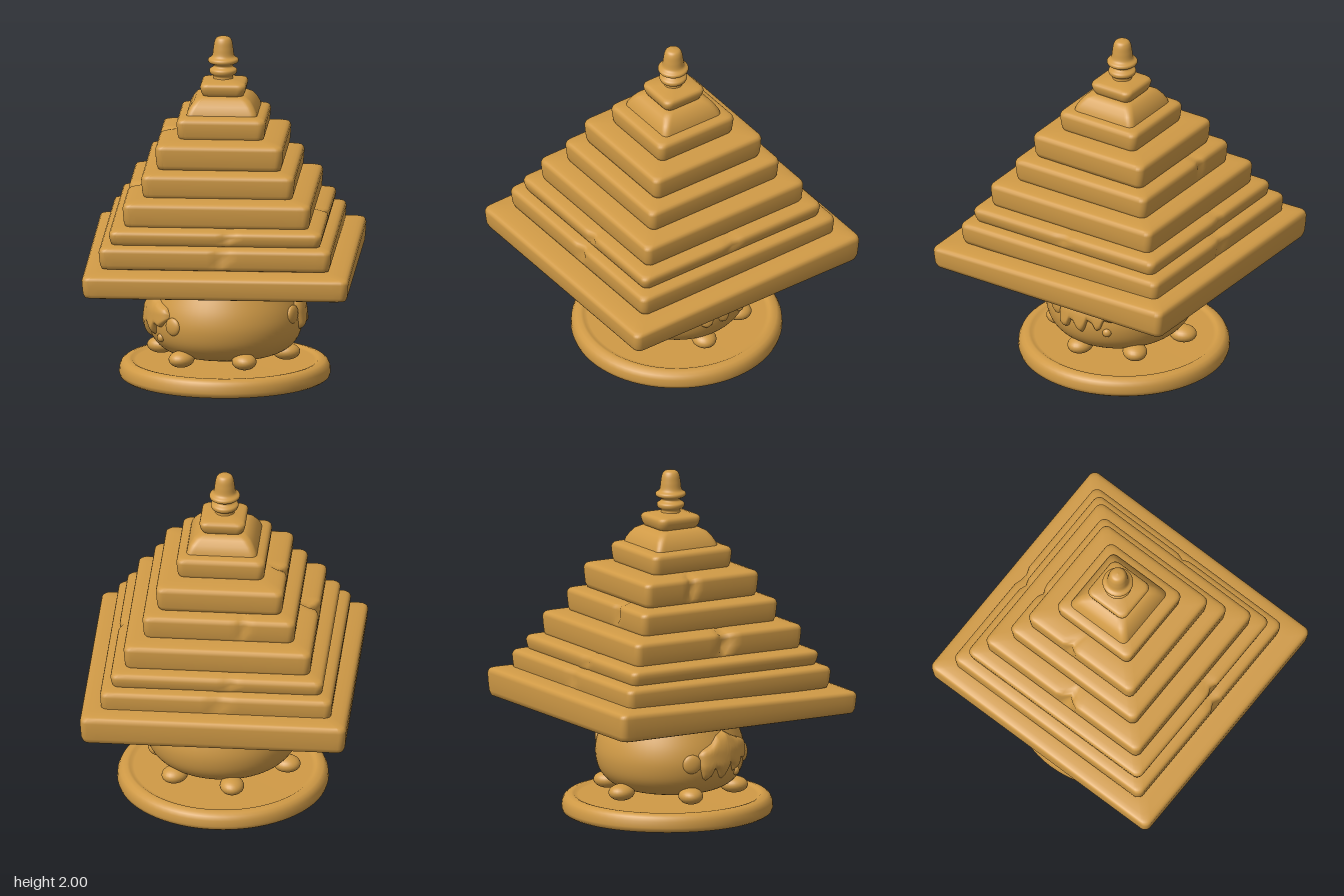
import * as THREE from 'three';

const clay = new THREE.MeshStandardMaterial({ color: 0xd09a46 });
clay.name = 'ochre clay';

const named = (geometry, name, x = 0, y = 0, z = 0) => {
  const m = new THREE.Mesh(geometry, clay);
  m.name = name;
  m.position.set(x, y, z);
  return m;
};

// Grid surface: i runs to the right, j runs upward, seen from outside
function grid(ni, nj, fn) {
  const pos = [], idx = [];
  for (let j = 0; j <= nj; j++) for (let i = 0; i <= ni; i++) pos.push(...fn(i, j));
  const w = ni + 1;
  for (let j = 0; j < nj; j++) for (let i = 0; i < ni; i++) {
    const a = j * w + i, b = a + 1, c = a + w + 1, d = a + w;
    idx.push(a, b, c, a, c, d);
  }
  const g = new THREE.BufferGeometry();
  g.setAttribute('position', new THREE.Float32BufferAttribute(pos, 3));
  g.setIndex(idx);
  g.computeVertexNormals();
  return g;
}

const vecs = (pts) => pts.map(([x, y]) => new THREE.Vector2(x, y));
const smoothLathe = (pts, n, seg = 64) => {
  const p = new THREE.SplineCurve(vecs(pts)).getPoints(n);
  p.forEach((v) => { v.x = Math.max(0, v.x); });
  return new THREE.LatheGeometry(p, seg);
};

// Piecewise linear lookup in [[x, y], ...]
function lookup(table, x) {
  for (let i = 1; i < table.length; i++) {
    const [x0, y0] = table[i - 1], [x1, y1] = table[i];
    if (x <= x1) return y0 + (y1 - y0) * Math.max(0, (x - x0) / (x1 - x0));
  }
  return table[table.length - 1][1];
}

// Rounded square outline, starting on the front side and turning toward +x
const SIDE = 28, ARC = 6, RING = 4 * (SIDE + ARC);
function ringPoint(i, hx, hz, radius) {
  const k = i % RING, side = Math.floor(k / (SIDE + ARC)), s = k % (SIDE + ARC);
  const along = side % 2 ? hz : hx, out = side % 2 ? hx : hz;
  const r = Math.min(radius, along, out);
  let u, v;
  if (s <= SIDE) {
    u = (along - r) * (2 * s / SIDE - 1);
    v = out;
  } else {
    const a = (s - SIDE) / ARC * Math.PI / 2;
    u = along - r + r * Math.sin(a);
    v = out - r + r * Math.cos(a);
  }
  const turn = [[u, v], [v, -u], [-u, -v], [-v, u]][side];
  return { x: turn[0], z: turn[1], u, side };
}

// One slab of the stepped roof; dents are [side, position, depth]
function slab(hx, hz, y0, y1, dents = [], tilt = 0, radius = 0.04) {
  const h = y1 - y0, e = Math.min(0.03, h * 0.3);
  const profile = [
    [hx, y0], [0.035, y0], [0.034, y0], [0.016, y0 + 0.006], [0.007, y0 + e], [0.003, y0 + h * 0.5],
    [0, y1 - e], [0.004, y1 - e * 0.5], [0.012, y1 - e * 0.18], [0.025, y1 - 0.001], [0.045, y1 + 0.004],
    [0.12, y1 + 0.014], [hx, y1 + 0.014],
  ];
  return grid(RING, profile.length - 1, (i, j) => {
    const [inset, y] = profile[j];
    const ix = Math.max(0.001, hx - inset), iz = Math.max(0.001, hz - inset);
    const p = ringPoint(i, ix, iz, radius);
    let pull = 0;
    if (j > 4 && j < 11) {
      for (const [side, at, depth] of dents) {
        if (side === p.side) pull += depth * Math.exp(-(((p.u - at) / 0.025) ** 2));
      }
    }
    const out = [[0, 1], [1, 0], [0, -1], [-1, 0]][p.side];
    return [p.x - out[0] * pull, y - tilt * p.z * (y - y0) / h - pull * 0.3, p.z - out[1] * pull];
  });
}

// Pot radius by height
const potProfile = [[0, 0.14], [0.15, 0.14], [0.26, 0.148], [0.345, 0.185], [0.4, 0.25], [0.422, 0.34],
  [0.412, 0.43], [0.375, 0.53], [0.33, 0.62], [0.3, 0.67]];
const potRadius = potProfile.map(([r, y]) => [y, r]).slice(1);
const onPot = (az, y, lift) => {
  const r = lookup(potRadius, y) + lift;
  return [r * 1.05 * Math.sin(az), y, r * Math.cos(az)];
};

// Melted patch outline: angle against upper and lower height
const dripTop = [[-0.5, 0.46], [-0.42, 0.49], [-0.26, 0.52], [-0.15, 0.56], [0, 0.58], [0.12, 0.555],
  [0.25, 0.53], [0.42, 0.51], [0.5, 0.47]];
const dripBottom = [[-0.5, 0.42], [-0.46, 0.38], [-0.42, 0.32], [-0.36, 0.3], [-0.3, 0.32], [-0.26, 0.37],
  [-0.2, 0.36], [-0.13, 0.31], [-0.08, 0.3], [-0.04, 0.33], [0, 0.385], [0.08, 0.37], [0.13, 0.33],
  [0.18, 0.34], [0.23, 0.4], [0.34, 0.39], [0.42, 0.42], [0.5, 0.46]];

function meltedFace(az, dy) {
  const face = new THREE.Group();
  face.name = 'meltedPatch';
  const NU = 60, NV = 16;
  face.add(named(grid(NU, NV, (i, j) => {
    const s = i / NU, t = 0.5 - 0.5 * Math.cos(Math.PI * j / NV), u = s - 0.5;
    const lo = lookup(dripBottom, u), y = lo + (lookup(dripTop, u) - lo) * t;
    const lift = 0.04 * (1 - (2 * t - 1) ** 8) * (1 - (2 * s - 1) ** 10) - 0.008;
    return onPot(az + u, y + dy, lift);
  }), 'drips'));
  // Round buttons beside the patch and a loose drop below it
  for (const [u, y, r] of [[-0.58, 0.41, 0.055], [0.56, 0.41, 0.052], [0.27, 0.325, 0.026]]) {
    const b = named(new THREE.SphereGeometry(1, 24, 14), 'button', ...onPot(az + u, y + dy, 0));
    b.scale.set(r, r, 0.022);
    b.rotation.set(0, az + u, 0);
    face.add(b);
  }
  return face;
}

export function createModel() {
  const model = new THREE.Group();
  model.name = 'steppedRoofPot';

  // Round stand with a raised rim
  model.add(named(new THREE.LatheGeometry(vecs([[0, 0], [0.585, 0], [0.586, 0], [0.6, 0.01], [0.606, 0.03],
    [0.603, 0.065], [0.592, 0.088], [0.575, 0.101], [0.55, 0.107], [0.535, 0.104], [0.525, 0.097],
    [0.51, 0.096], [0, 0.096]]), 72), 'stand', 0, 0, -0.03));

  // Pebble feet around the pot
  [324, 23, 82, 134, 191, 258].forEach((deg) => {
    const a = deg * Math.PI / 180;
    const foot = named(new THREE.SphereGeometry(1, 24, 16), 'foot', 0.37 * Math.sin(a) - 0.01, 0.165, 0.37 * Math.cos(a) - 0.02);
    foot.scale.set(0.07, 0.048, 0.08);
    foot.rotation.y = a;
    model.add(foot);
  });

  // Pot body with two melted patches
  const pot = new THREE.Group();
  pot.name = 'pot';
  pot.position.set(0.005, 0, -0.01);
  const body = named(smoothLathe(potProfile, 48), 'potBody');
  body.scale.x = 1.05;
  pot.add(body, meltedFace(1.73, 0), meltedFace(-1.25, -0.05));
  model.add(pot);

  // Stepped roof: half width, half depth, bottom, top, x, z, dents, tilt
  const roof = new THREE.Group();
  roof.name = 'roof';
  [
    [0.765, 0.79, 0.62, 0.77, -0.003, 0, [], 0.025],
    [0.667, 0.68, 0.765, 0.9, -0.012, -0.01, [[0, 0.05, 0.025], [2, 0.02, 0.03]], 0.008],
    [0.612, 0.625, 0.895, 0.99, -0.012, -0.005, [[0, 0.08, 0.02], [1, 0, 0.015], [2, 0.08, 0.015]], 0.008],
    [0.54, 0.557, 0.985, 1.135, -0.01, -0.005, [[3, 0.03, 0.04], [3, 0.06, 0.025]], 0.008],
    [0.44, 0.455, 1.135, 1.28, -0.01, -0.005, [[2, 0.14, 0.02]], 0.008],
    [0.367, 0.38, 1.285, 1.435, -0.008, -0.01, [[3, -0.07, 0.03]], 0.005],
    [0.256, 0.266, 1.435, 1.565, -0.005, -0.005, [], 0],
    [0.132, 0.137, 1.665, 1.745, -0.003, -0.01, [], 0],
  ].forEach(([hx, hz, y0, y1, x, z, dents, tilt]) => {
    roof.add(named(slab(hx, hz, y0, y1, dents, tilt), 'roofSlab', x, 0, z));
  });

  // Sloping cap under the small top slab
  const cap = [[0.205, 1.56], [0.198, 1.59], [0.182, 1.62], [0.16, 1.65], [0.13, 1.667], [0.1, 1.67]];
  roof.add(named(grid(RING, cap.length - 1, (i, j) => {
    const p = ringPoint(i, cap[j][0], cap[j][0], 0.035);
    return [p.x, cap[j][1], p.z];
  }), 'roofCap', -0.005, 0, -0.01));
  model.add(roof);

  // Turned finial
  model.add(named(smoothLathe([[0.065, 1.73], [0.055, 1.765], [0.075, 1.783], [0.078, 1.805], [0.056, 1.822],
    [0.06, 1.835], [0.084, 1.848], [0.086, 1.866], [0.064, 1.885], [0.057, 1.93], [0.05, 1.97], [0.035, 1.992],
    [0, 2]], 72, 40), 'finial', -0.008, 0, -0.012));

  return model;
}
